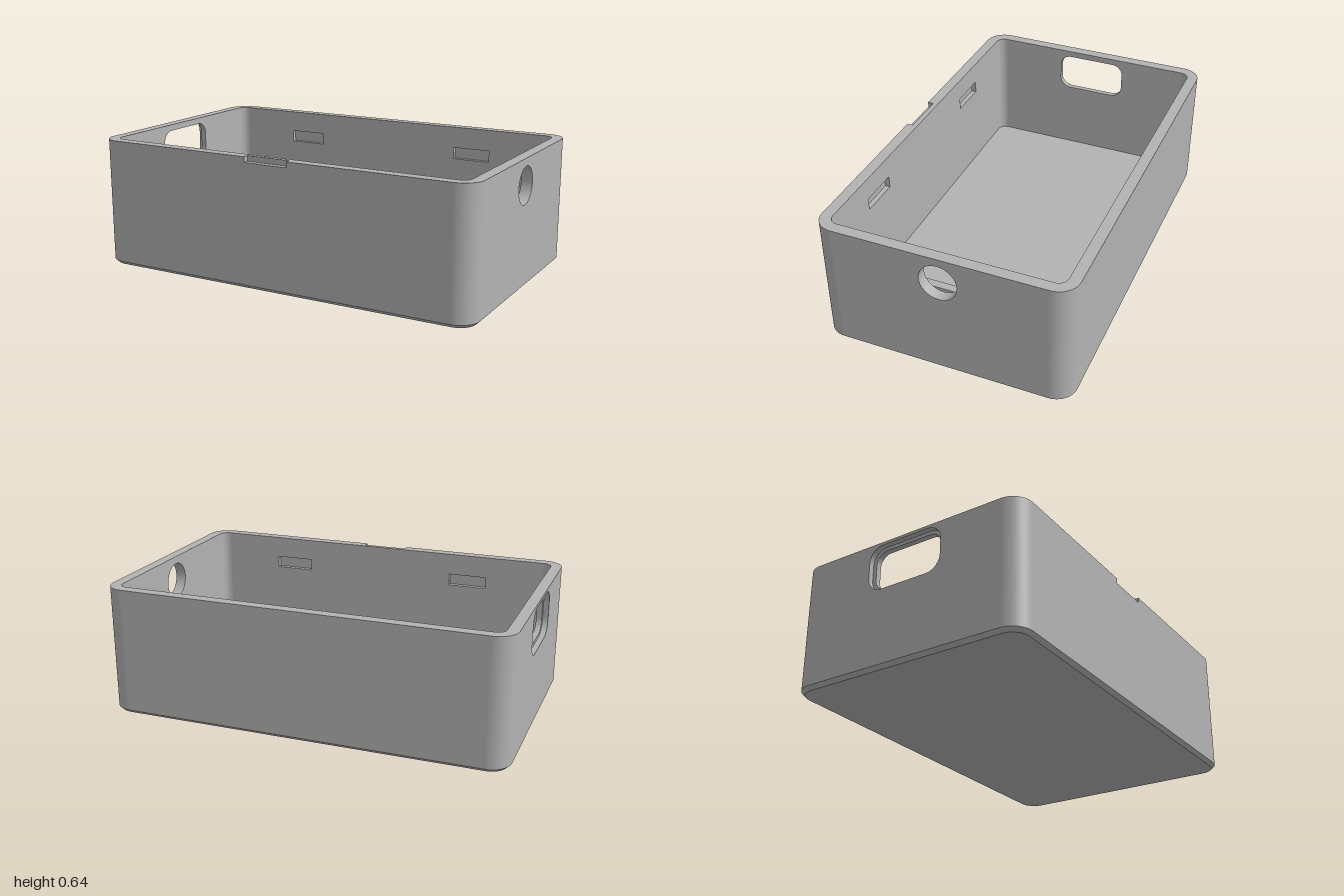
import * as THREE from 'three';
import { toCreasedNormals } from 'three/addons/utils/BufferGeometryUtils.js';

const X = 1, Z = 0.615, H = 0.64;        // outer half sizes and height
const WALL = 0.055, R = 0.1;             // wall thickness, outer corner radius
const CHAMFER = 0.018, FLOOR = 0.05;

// Rounded rectangle outline centred on (cx, cy), usable as a shape or a hole
function roundedRect(hw, hh, r, cx = 0, cy = 0, Type = THREE.Shape) {
  const s = new Type();
  s.absarc(cx + hw - r, cy + hh - r, r, 0, Math.PI / 2);
  s.absarc(cx - hw + r, cy + hh - r, r, Math.PI / 2, Math.PI);
  s.absarc(cx - hw + r, cy - hh + r, r, Math.PI, Math.PI * 1.5);
  s.absarc(cx + hw - r, cy - hh + r, r, Math.PI * 1.5, Math.PI * 2);
  s.closePath();
  return s;
}

function polygon(points, Type = THREE.Shape) {
  return new Type(points.map(([x, y]) => new THREE.Vector2(x, y)));
}

const rect = (x0, x1, y0, y1, Type) =>
  polygon([[x0, y0], [x1, y0], [x1, y1], [x0, y1]], Type);

export function createModel() {
  const group = new THREE.Group();
  group.name = 'enclosure';
  const grey = new THREE.MeshStandardMaterial({ color: 0xb2b2b2 });
  grey.name = 'grey plastic';

  function extrude(name, shape, depth, holes = [], bevel = {}) {
    shape.holes.push(...holes);
    const geo = new THREE.ExtrudeGeometry(shape, { depth, bevelEnabled: false, curveSegments: 16, ...bevel });
    const mesh = new THREE.Mesh(toCreasedNormals(geo, 0.5), grey);
    mesh.name = name;
    group.add(mesh);
    return mesh;
  }
  // Horizontal outline raised upward from y
  function slab(name, shape, y, depth, bevel) {
    const mesh = extrude(name, shape, depth, [], bevel);
    mesh.rotation.x = -Math.PI / 2;
    mesh.position.y = y;
    return mesh;
  }
  // Wall layer lying across x, from z to z + depth
  function longWall(name, shape, z, depth, holes) {
    extrude(name, shape, depth, holes).position.z = z;
  }
  // Wall layer lying across z, from x to x + depth
  function endWall(name, x, depth, hole) {
    const mesh = extrude(name, rect(R - Z, Z - R, CHAMFER, H), depth, [hole]);
    mesh.rotation.y = Math.PI / 2;
    mesh.position.x = x;
  }

  // Chamfered base; its upper bevel is buried in the walls
  slab('base', roundedRect(X - CHAMFER, Z - CHAMFER, R - CHAMFER), CHAMFER, 0.002,
    { bevelEnabled: true, bevelSegments: 1, bevelSize: CHAMFER, bevelThickness: CHAMFER });
  slab('floor', roundedRect(X - WALL, Z - WALL, R - WALL), CHAMFER, FLOOR - CHAMFER);

  // Rounded corner posts
  for (let i = 0; i < 4; i++) {
    const a = i * Math.PI / 2, b = a + Math.PI / 2;
    const cx = (i === 0 || i === 3 ? 1 : -1) * (X - R);
    const cy = (i < 2 ? 1 : -1) * (Z - R);
    const arc = new THREE.Shape();
    arc.absarc(cx, cy, R, a, b, false);
    arc.absarc(cx, cy, R - WALL, b, a, true);
    arc.closePath();
    slab('corner', arc, CHAMFER, H - CHAMFER);
  }

  // Long walls: inner layers carry the snap slots, the front outer layer the lid notch
  const L = X - R, SLOT = 0.025;
  const slots = () => [-0.5, 0.5].map(x => rect(x - 0.1, x + 0.1, 0.47, 0.53, THREE.Path));
  const plain = () => rect(-L, L, CHAMFER, H);
  const notched = polygon([[-L, CHAMFER], [L, CHAMFER], [L, H], [0.087, H],
    [0.087, H - 0.027], [-0.14, H - 0.027], [-0.14, H], [-L, H]]);
  longWall('frontWallInner', plain(), Z - WALL, SLOT, slots());
  longWall('frontWallOuter', notched, Z - WALL + SLOT, WALL - SLOT);
  longWall('backWallInner', plain(), -Z + WALL - SLOT, SLOT, slots());
  longWall('backWallOuter', plain(), -Z, WALL - SLOT);

  // End walls: round cable hole on one, stepped socket opening on the other
  const round = new THREE.Path().absarc(0, 0.51, 0.092, 0, Math.PI * 2);
  endWall('cableHoleWall', X - WALL, WALL, round);
  const STEP = 0.027;
  endWall('socketWallOuter', -X, STEP, roundedRect(0.2, 0.115, 0.075, 0, 0.51, THREE.Path));
  endWall('socketWallInner', -X + STEP, WALL - STEP, roundedRect(0.18, 0.098, 0.058, 0, 0.51, THREE.Path));

  // Low rib across the floor
  const rib = new THREE.Mesh(new THREE.BoxGeometry(0.042, 0.11, 2 * (Z - WALL)), grey);
  rib.name = 'rib';
  rib.position.set(0.635, 0.095, 0);
  group.add(rib);

  return group;
}
